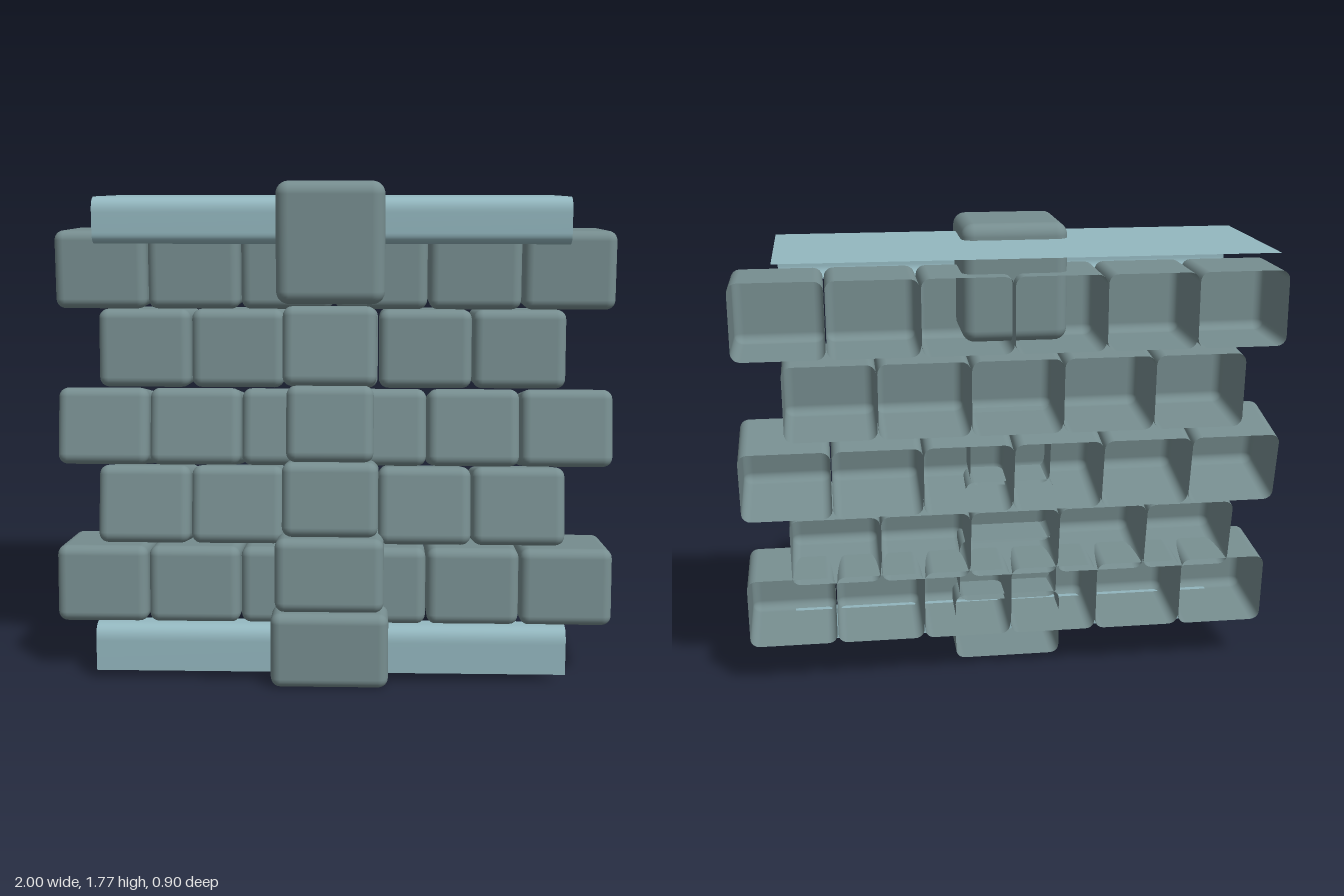
import * as THREE from 'three';
import { RoundedBoxGeometry } from 'three/addons/geometries/RoundedBoxGeometry.js';

const stone = new THREE.MeshStandardMaterial({ color: 0x778e90, side: THREE.DoubleSide });
const sheet = new THREE.MeshStandardMaterial({ color: 0x94b8c0, side: THREE.DoubleSide });

// Hollow block with rounded front edges and an open back
function openBlock(w, h, d, r = 0.035) {
  const box = new RoundedBoxGeometry(w, h, d + r, 3, r).translate(0, 0, -r / 2);
  const src = box.index ? box.toNonIndexed() : box;
  const pos = src.attributes.position, nor = src.attributes.normal;
  const p = [], n = [];
  for (let i = 0; i < pos.count; i += 3) {
    const z = (pos.getZ(i) + pos.getZ(i + 1) + pos.getZ(i + 2)) / 3;
    if (z < -d / 2 - 1e-4) continue;
    for (let k = i; k < i + 3; k++) {
      p.push(pos.getX(k), pos.getY(k), pos.getZ(k));
      n.push(nor.getX(k), nor.getY(k), nor.getZ(k));
    }
  }
  const geo = new THREE.BufferGeometry();
  geo.setAttribute('position', new THREE.Float32BufferAttribute(p, 3));
  geo.setAttribute('normal', new THREE.Float32BufferAttribute(n, 3));
  return geo;
}

// Row of blocks whose front face runs from (z0, y0) up to (z1, y1)
function blockRow(name, edges, depth, [z0, y0, z1, y1]) {
  const row = new THREE.Group();
  row.name = name;
  const tilt = Math.atan2(z1 - z0, y1 - y0);
  const height = Math.hypot(z1 - z0, y1 - y0);
  row.rotation.x = tilt;
  row.position.set(0,
    (y0 + y1) / 2 + Math.sin(tilt) * depth / 2,
    (z0 + z1) / 2 - Math.cos(tilt) * depth / 2);
  for (let i = 0; i < edges.length - 1; i++) {
    const m = new THREE.Mesh(openBlock(edges[i + 1] - edges[i] - 0.004, height, depth), stone);
    m.name = 'block';
    m.position.x = (edges[i] + edges[i + 1]) / 2;
    row.add(m);
  }
  return row;
}

// Thin sheet: a (z, y) path swept along x
function bentSheet(name, path, x0 = -0.85, x1 = 0.83) {
  const pts = path.getPoints(8);
  const geo = new THREE.PlaneGeometry(1, 1, 1, pts.length - 1);
  const pos = geo.attributes.position;
  pts.forEach((q, i) => {
    pos.setXYZ(2 * i, x0, q.y, q.x);
    pos.setXYZ(2 * i + 1, x1, q.y, q.x);
  });
  geo.computeVertexNormals();
  const m = new THREE.Mesh(geo, sheet);
  m.name = name;
  return m;
}

export function createModel() {
  const model = new THREE.Group();
  model.name = 'blockWall';

  // Staggered wall courses following a gentle curve
  const wide = Array.from({ length: 7 }, (_, i) => -1 + i / 3);
  const narrow = Array.from({ length: 6 }, (_, i) => -0.85 + i * 0.336);
  const courses = [
    [0.318, 0.197, 0.297, 0.474],
    [0.293, 0.487, 0.24, 0.762],
    [0.243, 0.765, 0.19, 1.037],
    [0.195, 1.037, 0.177, 1.318],
    [0.19, 1.318, 0.19, 1.596],
  ];
  courses.forEach((c, i) =>
    model.add(blockRow('wallCourse' + (i + 1), i % 2 ? narrow : wide, 0.312, c)));

  // Central column of protruding blocks
  const column = [
    [-0.22, 0.2, 0.45, 0, 0.45, 0.27],
    [-0.205, 0.183, 0.443, 0.275, 0.42, 0.537],
    [-0.18, 0.162, 0.415, 0.541, 0.38, 0.803],
    [-0.166, 0.145, 0.378, 0.803, 0.33, 1.068],
    [-0.18, 0.154, 0.33, 1.065, 0.284, 1.342],
  ];
  column.forEach(([l, r, ...front], i) =>
    model.add(blockRow('columnBlock' + (i + 1), [l, r], 0.28, front)));

  // Tall rounded block capping the column
  const cap = new THREE.Mesh(new RoundedBoxGeometry(0.38, 0.425, 0.375, 4, 0.045), stone);
  cap.name = 'columnCap';
  cap.position.set(-0.01, 1.5575, 0.1275);
  model.add(cap);

  // Top sheet with a rolled front lip
  const top = new THREE.Path();
  top.moveTo(-0.45, 1.715);
  top.lineTo(0.175, 1.715);
  top.quadraticCurveTo(0.23, 1.715, 0.23, 1.66);
  top.lineTo(0.23, 1.59);
  top.quadraticCurveTo(0.23, 1.555, 0.19, 1.55);
  model.add(bentSheet('topSheet', top));

  // Bottom skirt curving out from under the first course
  const skirt = new THREE.Path();
  skirt.moveTo(0.27, 0.2);
  skirt.lineTo(0.305, 0.198);
  skirt.quadraticCurveTo(0.355, 0.195, 0.355, 0.14);
  skirt.lineTo(0.355, 0.03);
  model.add(bentSheet('bottomSkirt', skirt));

  return model;
}
